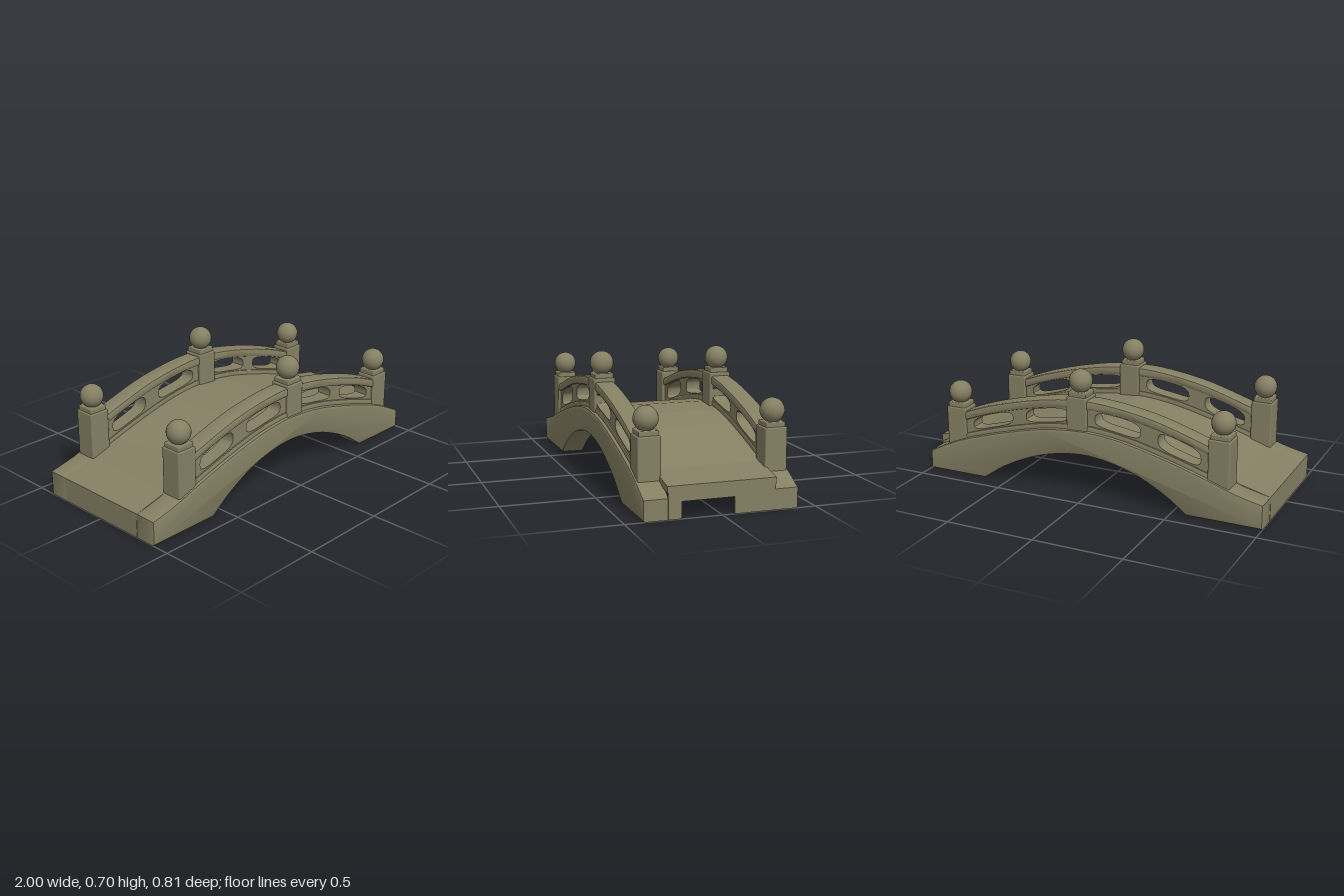
import * as THREE from 'three';
import { toCreasedNormals } from 'three/addons/utils/BufferGeometryUtils.js';
import { RoundedBoxGeometry } from 'three/addons/geometries/RoundedBoxGeometry.js';

const V = (x, y) => new THREE.Vector2(x, y);

// Height of a smooth profile through [x, y] points
function profile(points) {
  const samples = new THREE.SplineCurve(points.map(p => V(...p))).getPoints(240);
  return x => {
    let i = 1;
    while (i < samples.length - 1 && samples[i].x < x) i++;
    const a = samples[i - 1], b = samples[i];
    const t = THREE.MathUtils.clamp((x - a.x) / (b.x - a.x || 1), 0, 1);
    return a.y + (b.y - a.y) * t;
  };
}

const girderTop = profile([[-1, 0.14], [-0.85, 0.175], [-0.7, 0.225], [-0.45, 0.3], [-0.2, 0.358],
  [0.02, 0.378], [0.25, 0.358], [0.5, 0.3], [0.75, 0.225], [0.88, 0.172], [1, 0.112]]);
const archUnder = profile([[-0.58, 0.005], [-0.45, 0.1], [-0.25, 0.195], [0, 0.24],
  [0.25, 0.205], [0.48, 0.11], [0.64, 0.005]]);
const deckTop = profile([[-1, 0.14], [-0.85, 0.175], [-0.7, 0.225], [-0.45, 0.3], [-0.2, 0.358],
  [0.02, 0.38], [0.25, 0.358], [0.5, 0.3], [0.75, 0.222], [0.84, 0.204], [0.95, 0.195], [1, 0.172]]);
const railTop = profile([[-0.78, 0.375], [-0.68, 0.41], [-0.4, 0.495], [-0.15, 0.537], [0.03, 0.545],
  [0.2, 0.53], [0.4, 0.49], [0.6, 0.435], [0.75, 0.38], [0.85, 0.335]]);

// Points along a height function from x0 to x1
function along(f, x0, x1, n) {
  return Array.from({ length: n + 1 }, (_, i) => {
    const x = x0 + (x1 - x0) * i / n;
    return V(x, f(x));
  });
}

// Shape lying between two height functions
const band = (lo, hi, x0, x1, n = 24) =>
  new THREE.Shape([...along(lo, x0, x1, n), ...along(hi, x1, x0, n)]);

// Extrude across the bridge from z0 to z1 with softened edges
function slab(shape, z0, z1, bevel = 0, crease = 0.5) {
  const g = new THREE.ExtrudeGeometry(shape, {
    depth: z1 - z0 - 2 * bevel, steps: 1, bevelEnabled: bevel > 0,
    bevelThickness: bevel, bevelSize: bevel, bevelOffset: -bevel, bevelSegments: 2,
  });
  g.translate(0, 0, z0 + bevel);
  return toCreasedNormals(g, crease);
}

export function createModel() {
  const stone = new THREE.MeshStandardMaterial({ color: 0x857f63 });
  stone.name = 'weathered stone';
  const root = new THREE.Group();
  root.name = 'archedBridge';
  const add = (parent, name, geometry, x = 0, y = 0, z = 0) => {
    const mesh = new THREE.Mesh(geometry, stone);
    mesh.name = name;
    mesh.position.set(x, y, z);
    parent.add(mesh);
    return mesh;
  };

  // Side girder outline: flat feet joined by an arch
  const girder = new THREE.Shape([
    V(-1, 0.005), ...along(archUnder, -0.58, 0.64, 28), V(1, 0.005),
    ...along(girderTop, 1, -1, 40),
  ]);

  // Rounded, slanted openings that follow the rail
  const railWall = band(x => girderTop(x) - 0.02, x => railTop(x) - 0.02, -0.74, 0.81, 32);
  for (const [x0, x1] of [[-0.65, -0.41], [-0.31, -0.045], [0.115, 0.375], [0.46, 0.715]]) {
    const pts = [];
    for (let i = 0; i < 28; i++) {
      const a = i / 28 * Math.PI * 2;
      const soft = v => Math.sign(v) * Math.abs(v) ** 0.6;
      const x = (x0 + x1) / 2 + (x1 - x0) / 2 * soft(Math.cos(a));
      const lo = girderTop(x) + 0.033, hi = railTop(x) - 0.053;
      pts.push(V(x, (lo + hi) / 2 + (hi - lo) / 2 * soft(Math.sin(a))));
    }
    railWall.holes.push(new THREE.Path(pts.reverse()));
  }
  const handrail = band(x => railTop(x) - 0.05, railTop, -0.74, 0.81);
  const curb = band(x => girderTop(x) - 0.03, x => girderTop(x) + 0.028, -0.74, 0.81);

  for (const side of [1, -1]) {
    const half = new THREE.Group();
    half.name = side > 0 ? 'frontSide' : 'backSide';
    root.add(half);
    const span = (a, b) => (side > 0 ? [a, b] : [-b, -a]);

    add(half, 'girder', slab(girder, ...span(0.272, 0.407), 0.014));
    add(half, 'railPanel', slab(railWall, ...span(0.294, 0.38)));
    add(half, 'handrail', slab(handrail, ...span(0.284, 0.39), 0.012));
    add(half, 'curb', slab(curb, ...span(0.288, 0.388), 0.01));

    // Posts with a stepped cap and a ball
    for (const [x, top] of [[-0.752, 0.47], [0.06, 0.585], [0.822, 0.42]]) {
      const post = new THREE.Group();
      post.name = 'post';
      post.position.set(x, 0, side * 0.335);
      half.add(post);
      const foot = girderTop(x) - 0.06, height = top - 0.026 - foot;
      add(post, 'shaft', new RoundedBoxGeometry(0.12, height, 0.12, 2, 0.008), 0, foot + height / 2);
      add(post, 'cap', new RoundedBoxGeometry(0.104, 0.06, 0.104, 2, 0.006), 0, top - 0.03);
      add(post, 'ball', new THREE.SphereGeometry(0.064, 24, 16), 0, top + 0.053);
    }
  }

  // Thin walkway of straight planks, with ribs beneath
  const deck = band(x => deckTop(x) - 0.035, deckTop, -1, 1, 10);
  add(root, 'deck', slab(deck, -0.285, 0.285, 0, 0.05));
  const rib = band(x => deckTop(x) - 0.07, x => deckTop(x) - 0.025, -0.85, 0.85);
  for (const z of [-0.1, 0.1]) add(root, 'lengthwiseRib', slab(rib, z - 0.012, z + 0.012));
  for (let i = 0; i < 9; i++) {
    const x = -0.8 + i * 0.2;
    const beam = add(root, 'crossBeam', new THREE.BoxGeometry(0.035, 0.045, 0.57), x, deckTop(x) - 0.052);
    beam.rotation.z = Math.atan2(deckTop(x + 0.02) - deckTop(x - 0.02), 0.04);
  }

  // Thin end walls; the one on the left is notched at the bottom
  add(root, 'rightEndWall', new THREE.BoxGeometry(0.015, 0.115, 0.56), -0.9925, 0.0625);
  for (const [z0, z1, y0] of [[-0.28, -0.065, 0.005], [-0.065, 0.21, 0.092], [0.21, 0.28, 0.005]]) {
    add(root, 'leftEndWall', new THREE.BoxGeometry(0.015, 0.15 - y0, z1 - z0),
      0.9925, (0.15 + y0) / 2, (z0 + z1) / 2);
  }

  return root;
}
